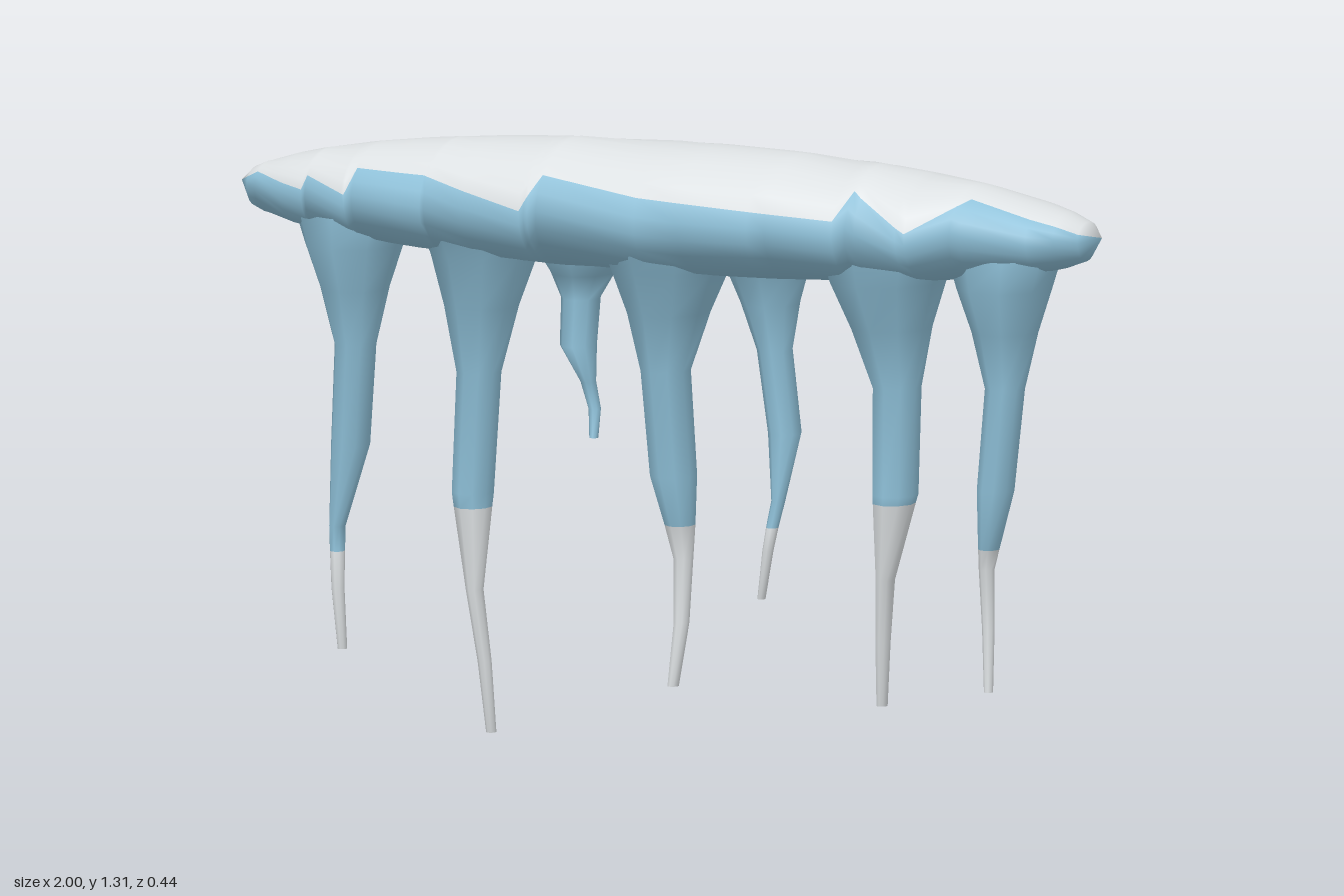
import * as THREE from 'three';
import { mergeVertices } from 'three/addons/utils/BufferGeometryUtils.js';

const ice = new THREE.MeshStandardMaterial({ color: 0x8fc1d9 });
ice.name = 'blueIce';
const frost = new THREE.MeshStandardMaterial({ color: 0xdde1e3 });
frost.name = 'paleFrost';

// Skin closed rings of points; isFrost(ring, column) picks the colour of each face
function loft(name, rings, isFrost) {
  const n = rings[0].length;
  const lists = [[], []];
  for (let i = 0; i < rings.length - 1; i++) {
    for (let j = 0; j < n; j++) {
      const a = i * n + j, b = i * n + (j + 1) % n;
      lists[isFrost(i, j) ? 1 : 0].push(a, a + n, b, b, a + n, b + n);
    }
  }
  let geo = new THREE.BufferGeometry();
  geo.setAttribute('position', new THREE.Float32BufferAttribute(rings.flat(2), 3));
  geo.setIndex([...lists[0], ...lists[1]]);
  geo = mergeVertices(geo, 1e-4);
  geo.addGroup(0, lists[0].length, 0);
  geo.addGroup(lists[0].length, lists[1].length, 1);
  geo.computeVertexNormals();
  const mesh = new THREE.Mesh(geo, [ice, frost]);
  mesh.name = name;
  return mesh;
}

// Piecewise linear lookup in a list of [key, value]
function lerpList(list, x) {
  const i = Math.max(1, list.findIndex(([key]) => x <= key));
  const [x0, v0] = list[i - 1], [x1, v1] = list[i];
  return v0 + (v1 - v0) * (x - x0) / (x1 - x0);
}

// Slab outline: a lens in plan and elevation, widest at height MID
const MID = 1.17;
const lens = (x, size, power) => size * Math.max(0, 1 - x * x) ** power;
const halfDepth = (x) => lens(x, 0.22, 0.5);

// Jagged lower edge of the frost as [x, height above MID]
const frontEdge = [[-1, 0], [-0.94, 0.03], [-0.81, 0.01], [-0.8, 0.04], [-0.7, 0.01], [-0.68, 0.065], [-0.51, 0.065],
  [-0.27, 0.01], [-0.23, 0.085], [0, 0.055], [0.45, 0.03], [0.48, 0.09], [0.61, 0.01], [0.73, 0.08], [0.92, 0.03], [1, 0]];
const backEdge = [[-1, 0], [-0.8, 0.03], [-0.57, 0.02], [-0.41, 0.06], [-0.25, 0.02], [0.1, 0.08],
  [0.3, 0.02], [0.5, 0.08], [0.59, 0.01], [1, 0]];

// Long slab with a frosted top
function makeSlab() {
  const CAP = 10, UNDER = 14;
  const even = Array.from({ length: 13 }, (_, k) => Math.sin((k / 12 - 0.5) * Math.PI));
  const xs = [...new Set([...even, ...frontEdge.map((p) => p[0]), ...backEdge.map((p) => p[0])])].sort((a, b) => a - b);
  const rings = xs.map((x) => {
    const up = lens(x, 0.145, 0.55), down = lens(x, 0.135, 0.35), d = halfDepth(x);
    const edgeAngle = (list) => up < 1e-6 ? 0 : Math.asin(Math.min(0.9, lerpList(list, x) / up));
    const f = edgeAngle(frontEdge), b = Math.PI - edgeAngle(backEdge);
    return Array.from({ length: CAP + UNDER }, (_, j) => {
      const t = j < CAP ? f + (b - f) * j / CAP : b + (2 * Math.PI + f - b) * (j - CAP) / UNDER;
      const s = Math.sin(t);
      return [x, MID + s * (s > 0 ? up : down), d * Math.cos(t)];
    });
  });
  return loft('iceSlab', rings, (i, j) => j < CAP);
}

// Shared icicle taper as [share of length, radius]
const ROOT_Y = 1.05;
const taper = [[0, 0.115], [0.11, 0.08], [0.25, 0.048], [0.5, 0.045], [0.7, 0.019], [0.85, 0.015], [1, 0.011]];
const bendAt = [0, 0.25, 0.5, 0.7, 0.85, 1];

// Each icicle: tip height, width factor, depth at root, share where frost starts, centre x at each bend
const icicles = [
  { tip: 0.165, width: 0.93, z: 0, frostAt: 0.76, bends: [-0.74, -0.735, -0.752, -0.778, -0.77, -0.763] },
  { tip: 0, width: 1, z: 0, frostAt: 0.53, bends: [-0.435, -0.45, -0.463, -0.453, -0.435, -0.428] },
  { tip: 0.655, width: 0.88, z: -0.08, frostAt: 1, bends: [-0.235, -0.24, -0.235, -0.213, -0.2, -0.193] },
  { tip: 0.135, width: 1.12, z: 0.01, frostAt: 0.62, bends: [0, -0.01, 0.005, 0.023, 0.025, 0.012] },
  { tip: 0.33, width: 0.8, z: -0.06, frostAt: 0.78, bends: [0.2, 0.22, 0.243, 0.238, 0.22, 0.2] },
  { tip: 0.115, width: 1.1, z: 0, frostAt: 0.52, bends: [0.5, 0.52, 0.52, 0.5, 0.487, 0.48] },
  { tip: 0.165, width: 0.9, z: 0, frostAt: 0.65, bends: [0.775, 0.775, 0.757, 0.728, 0.73, 0.739] },
];

function makeIcicle({ tip, width, z, frostAt, bends }, index) {
  const SIDES = 9;
  const path = bendAt.map((t, k) => [t, bends[k]]);
  const levels = [...new Set([...taper.map((p) => p[0]), frostAt])].sort((a, b) => a - b);
  const ring = (x, y, zc, rx, rz) => Array.from({ length: SIDES }, (_, j) => {
    const a = j / SIDES * Math.PI * 2 + index * 0.4;
    return [x + rx * Math.sin(a), y, zc + rz * Math.cos(a)];
  });
  const body = (t, scale) => {
    const r = lerpList(taper, t) * width * scale;
    const sway = 0.02 * t * Math.sin(t * 9 + index * 1.7);
    return ring(lerpList(path, t), ROOT_Y + (tip - ROOT_Y) * t, z * (1 - 0.7 * t) + sway, r, r * 1.15);
  };
  // Flared root buried in the slab, shaft, then closed tip
  const root = ring(bends[0], 1.12, z * 0.8, 0.14 * width, halfDepth(bends[0]) * 0.86 - Math.abs(z) * 0.8);
  const rings = [root, ...levels.map((t) => body(t, 1)), body(1, 0)];
  return loft('icicle' + (index + 1), rings, (i) => i > 0 && levels[i - 1] >= frostAt);
}

export function createModel() {
  const group = new THREE.Group();
  group.name = 'icicleCluster';
  group.add(makeSlab());
  icicles.forEach((spec, i) => group.add(makeIcicle(spec, i)));
  return group;
}
